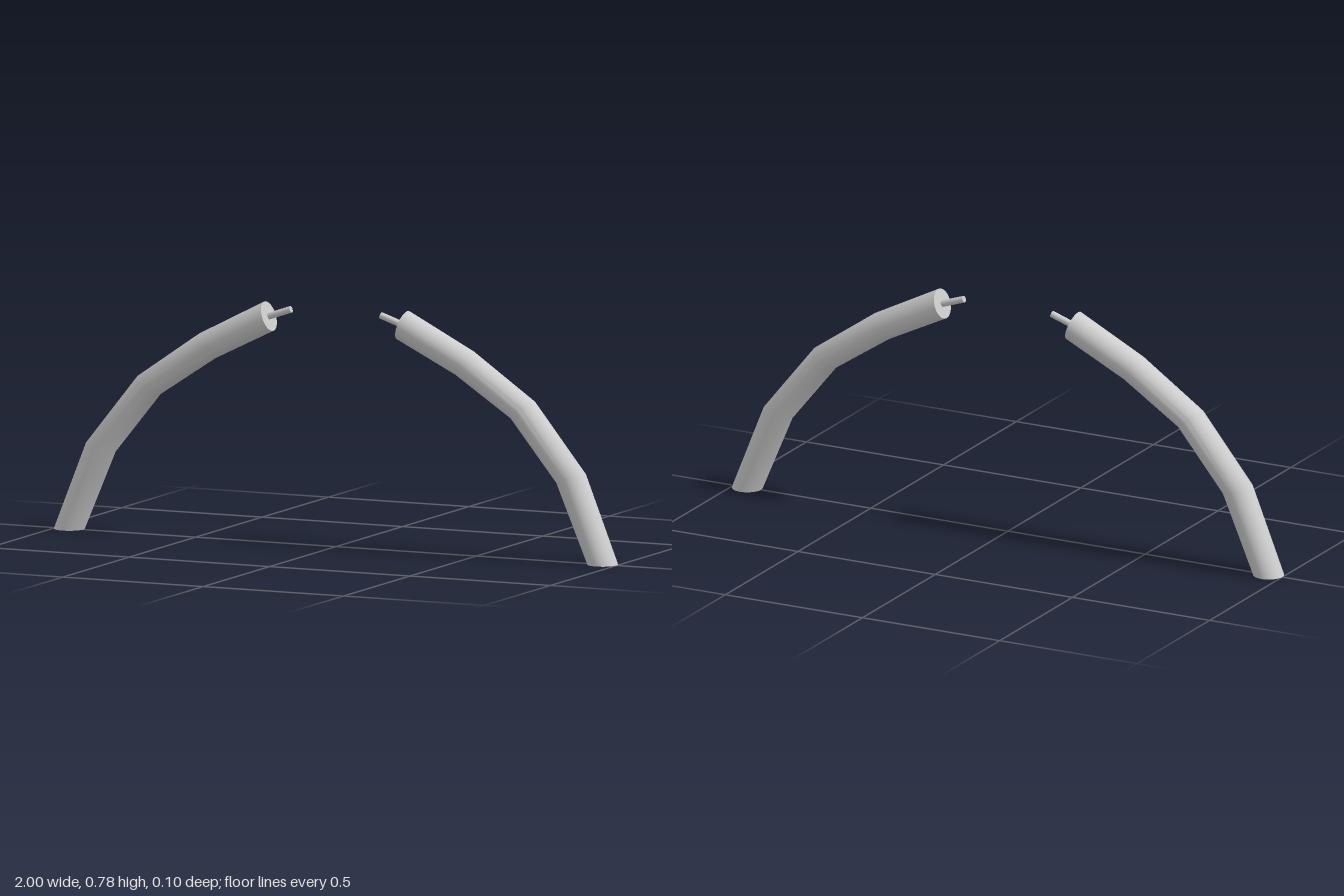
import * as THREE from 'three';
import { toCreasedNormals } from 'three/addons/utils/BufferGeometryUtils.js';

const RADIUS = 0.05;
// Mitred joints of one arm, foot to tip: [outer x, outer y, inner x, inner y]
const JOINTS = [
  [1.0, 0, 0.9, 0],
  [0.885, 0.288, 0.79, 0.257],
  [0.703, 0.514, 0.628, 0.456],
  [0.484, 0.665, 0.432, 0.585],
  [0.255, 0.782, 0.223, 0.688],
];

// Bend a capped cylinder so each of its rows lands on a joint
function armGeometry() {
  const rows = JOINTS.length - 1;
  const geometry = new THREE.CylinderGeometry(1, 1, 1, 32, rows);
  const p = geometry.attributes.position;
  for (let i = 0; i < p.count; i++) {
    const [ox, oy, ix, iy] = JOINTS[Math.round((p.getY(i) + 0.5) * rows)];
    const t = (p.getX(i) + 1) / 2;
    p.setXYZ(i, ix + (ox - ix) * t, iy + (oy - iy) * t, p.getZ(i) * RADIUS);
  }
  return toCreasedNormals(geometry, 0.6);
}

export function createModel() {
  const model = new THREE.Group();
  model.name = 'archArms';
  const material = new THREE.MeshStandardMaterial({ color: 0xcccccc });
  const armShape = armGeometry();

  // Thin pin standing out of the tip
  const pinStart = new THREE.Vector3(0.239, 0.735, 0);
  const pinEnd = new THREE.Vector3(0.16, 0.762, 0);
  const axis = pinEnd.clone().sub(pinStart);
  const pinShape = new THREE.CylinderGeometry(0.011, 0.011, axis.length(), 16);

  // The second arm is the first one turned half way round
  for (const side of ['left', 'right']) {
    const half = new THREE.Group();
    half.name = side + 'Half';
    const arm = new THREE.Mesh(armShape, material);
    arm.name = side + 'Arm';
    const pin = new THREE.Mesh(pinShape, material);
    pin.name = side + 'Pin';
    pin.position.copy(pinStart).add(pinEnd).multiplyScalar(0.5);
    pin.quaternion.setFromUnitVectors(new THREE.Vector3(0, 1, 0), axis.clone().normalize());
    half.add(arm, pin);
    if (side === 'right') half.rotation.y = Math.PI;
    model.add(half);
  }
  return model;
}
